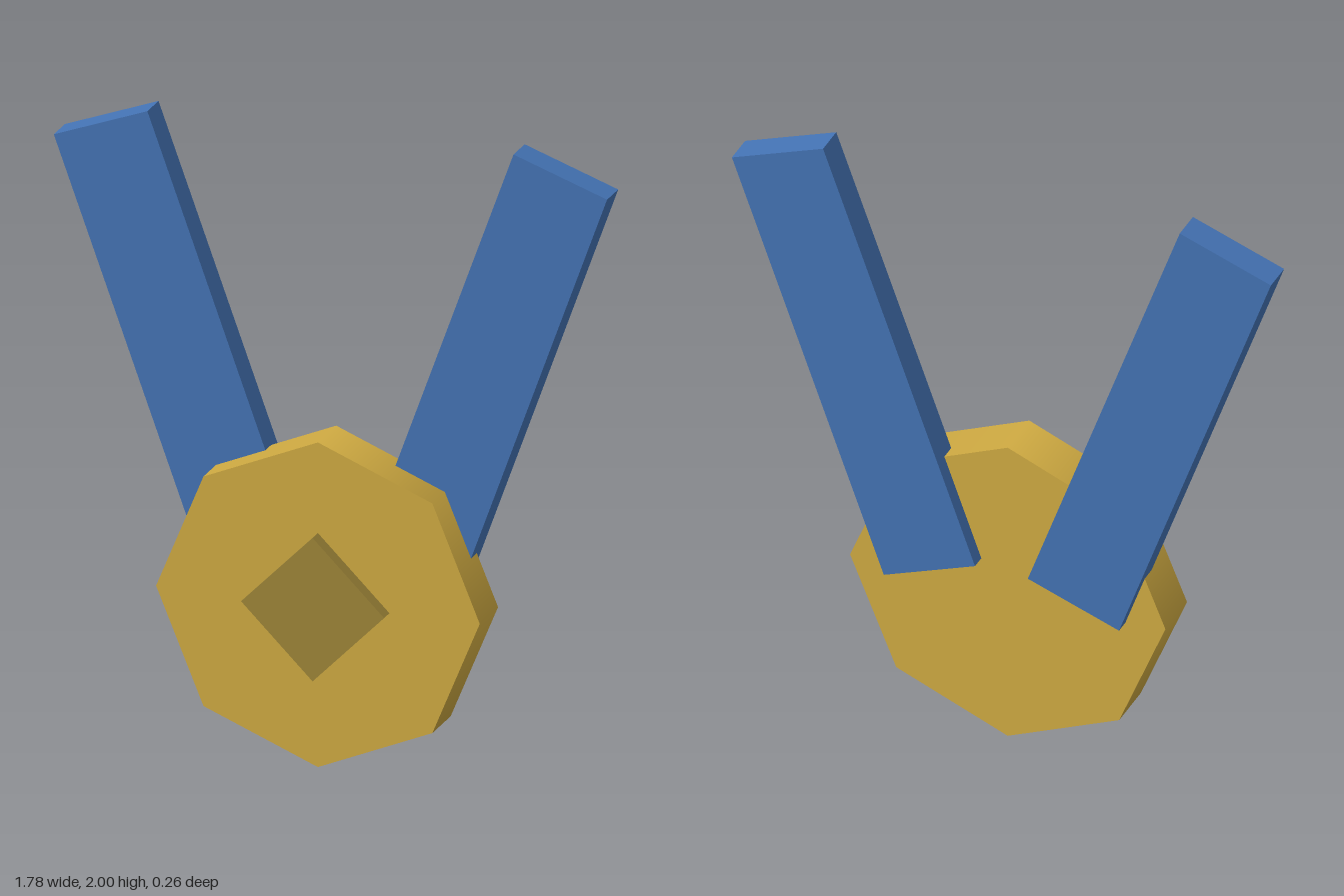
import * as THREE from 'three';

export function createModel() {
  const group = new THREE.Group();
  const gold = new THREE.MeshStandardMaterial({ name: 'gold', color: 0xd0ab42 });
  const darkGold = new THREE.MeshStandardMaterial({ name: 'dark gold', color: 0x9e8538 });
  const blue = new THREE.MeshStandardMaterial({ name: 'ribbon blue', color: 0x4473b4 });

  const add = (name, geometry, material, x, y, z) => {
    const mesh = new THREE.Mesh(geometry, material);
    mesh.name = name;
    mesh.position.set(x, y, z);
    group.add(mesh);
    return mesh;
  };

  // Eight-sided medal disc, point up
  const disc = new THREE.CylinderGeometry(0.52, 0.52, 0.164, 8).rotateX(Math.PI / 2);
  add('medalDisc', disc, gold, 0, 0.525, 0);

  // Raised diamond on the front
  const diamond = add('diamond', new THREE.BoxGeometry(0.325, 0.325, 0.1), darkGold, 0, 0.525, 0.08);
  diamond.rotation.z = Math.PI / 4;

  // Two ribbon straps spreading upwards behind the disc
  const strap = new THREE.BoxGeometry(0.32, 1.465, 0.1);
  for (const side of [-1, 1]) {
    const name = side > 0 ? 'leftRibbon' : 'rightRibbon';
    const mesh = add(name, strap, blue, side * 0.488, 1.257, -0.08);
    mesh.rotation.z = -side * THREE.MathUtils.degToRad(20);
  }
  return group;
}
